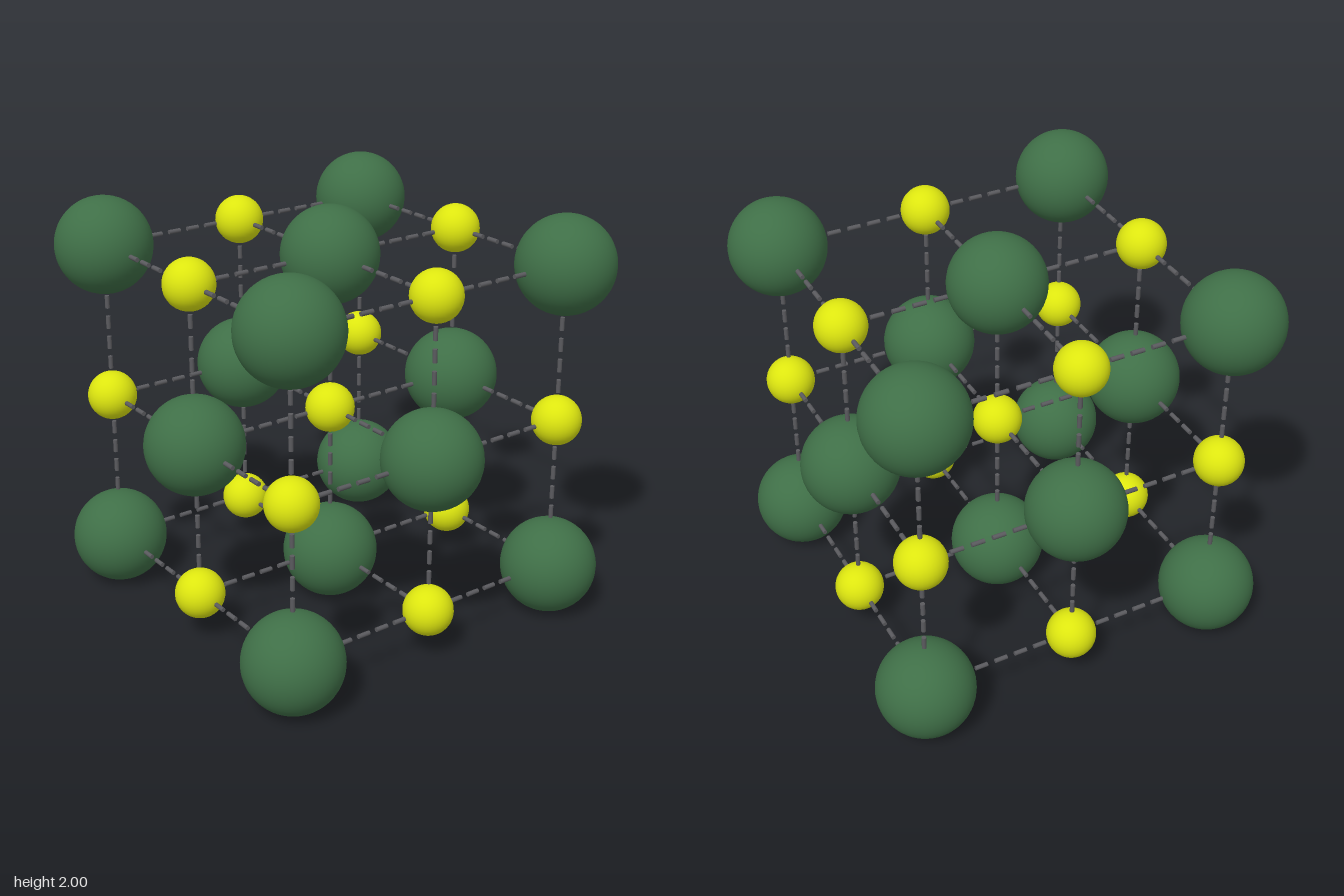
import * as THREE from 'three';

const BIG = 0.234, SMALL = 0.12, STEP = 1 - BIG;
const DASHES = 4, DASH_RADIUS = 0.011;

export function createModel() {
  const model = new THREE.Group();
  const paint = (color) => new THREE.MeshStandardMaterial({ color });
  const green = paint(0x3f6f47), yellow = paint(0xdde60f), grey = paint(0x5a5a5e);

  const bigBall = new THREE.SphereGeometry(BIG, 40, 28);
  const smallBall = new THREE.SphereGeometry(SMALL, 32, 20);
  const pitch = (STEP - BIG - SMALL) / DASHES;
  const dash = new THREE.CylinderGeometry(DASH_RADIUS, DASH_RADIUS, pitch * 0.61, 12);

  const place = (i, j, k) => new THREE.Vector3(i * STEP, 1 + j * STEP, k * STEP);
  // corners and face centres hold large balls, edges and the core small ones
  const isBig = (i, j, k) => (i + j + k) % 2 !== 0;
  const up = new THREE.Vector3(0, 1, 0);

  // dashed link in the gap between a large ball and a small one
  function addBond(large, small) {
    const bond = new THREE.Group();
    bond.name = 'dashedBond';
    bond.position.copy(large);
    bond.quaternion.setFromUnitVectors(up, small.clone().sub(large).normalize());
    for (let n = 0; n < DASHES; n++) {
      const piece = new THREE.Mesh(dash, grey);
      piece.name = 'bondDash';
      piece.position.y = BIG + pitch * (n + 0.5);
      bond.add(piece);
    }
    model.add(bond);
  }

  for (let i = -1; i <= 1; i++)
    for (let j = -1; j <= 1; j++)
      for (let k = -1; k <= 1; k++) {
        const big = isBig(i, j, k);
        const ball = new THREE.Mesh(big ? bigBall : smallBall, big ? green : yellow);
        ball.name = big ? 'largeIon' : 'smallIon';
        ball.position.copy(place(i, j, k));
        model.add(ball);

        // links to the next ball along each axis
        for (const [a, b, c] of [[1, 0, 0], [0, 1, 0], [0, 0, 1]]) {
          if (i + a > 1 || j + b > 1 || k + c > 1) continue;
          const here = place(i, j, k), next = place(i + a, j + b, k + c);
          if (big) addBond(here, next);
          else addBond(next, here);
        }
      }
  return model;
}
